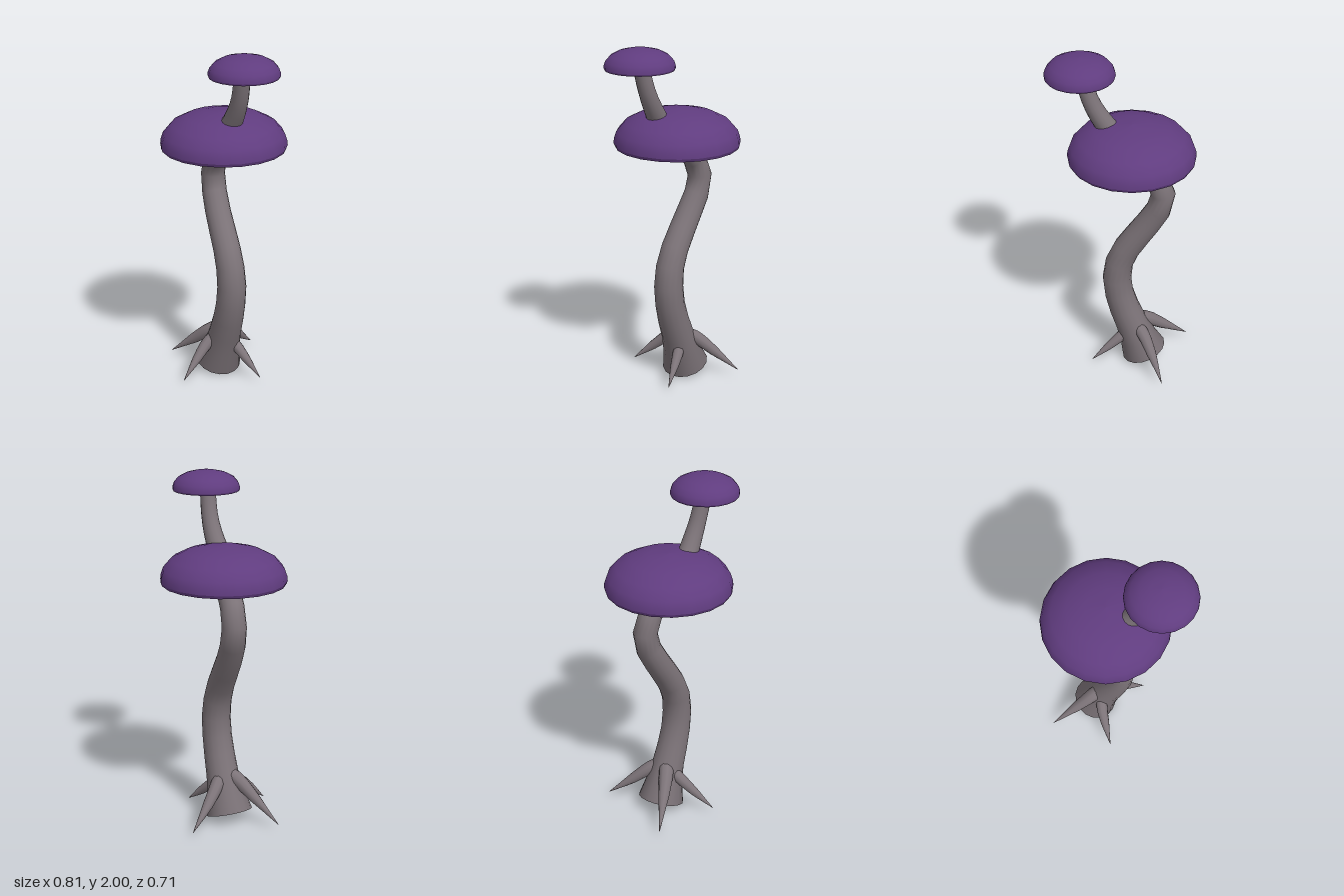
import * as THREE from 'three';

const mat = (name, color) => Object.assign(new THREE.MeshStandardMaterial({ color }), { name });

export function createModel() {
  const stemGrey = mat('stem grey', 0x7d7479);
  const capPurple = mat('cap purple', 0x603c7f);
  const gillLilac = mat('gill lilac', 0xbc9cec);
  const model = new THREE.Group();
  model.name = 'twinMushroom';

  const add = (parent, geometry, material, name) => {
    const mesh = new THREE.Mesh(geometry, material);
    mesh.name = name;
    parent.add(mesh);
    return mesh;
  };

  // Tube whose radius follows the fourth number of each point [x, y, z, radius]
  function taperedTube(points, segments, sides) {
    const path = new THREE.CatmullRomCurve3(points.map(p => new THREE.Vector3(p[0], p[1], p[2])));
    const geometry = new THREE.TubeGeometry(path, segments, 1, sides);
    const pos = geometry.attributes.position;
    const v = new THREE.Vector3();
    for (let i = 0; i < pos.count; i++) {
      const u = Math.floor(i / (sides + 1)) / segments;
      const t = path.getUtoTmapping(u) * (points.length - 1);
      const k = Math.min(Math.floor(t), points.length - 2);
      const radius = THREE.MathUtils.lerp(points[k][3], points[k + 1][3], t - k);
      const centre = path.getPointAt(u);
      v.fromBufferAttribute(pos, i).sub(centre).multiplyScalar(radius).add(centre);
      pos.setXYZ(i, v.x, v.y, v.z);
    }
    return { geometry, path };
  }

  // Main stem, with a tilted disc closing its foot
  const stem = taperedTube([
    [-0.1, 0.05, -0.03, 0.135], [-0.045, 0.21, -0.012, 0.097], [0.03, 0.44, 0.02, 0.086],
    [0.05, 0.6, 0.028, 0.084], [0.022, 0.75, 0.018, 0.08], [-0.125, 1.02, -0.055, 0.073],
    [-0.18, 1.15, -0.09, 0.07], [-0.175, 1.26, -0.085, 0.068], [-0.08, 1.41, -0.027, 0.066],
    [-0.03, 1.49, 0, 0.06],
  ], 14, 16);
  add(model, stem.geometry, stemGrey, 'mainStem');
  const foot = add(model, new THREE.CircleGeometry(0.135, 16), stemGrey, 'stemFoot');
  foot.position.copy(stem.path.getPointAt(0));
  foot.quaternion.setFromUnitVectors(new THREE.Vector3(0, 0, 1), stem.path.getTangentAt(0).negate());

  // Side stem growing out of the large cap
  add(model, taperedTube([
    [0.04, 1.53, 0.068, 0.06], [0.105, 1.62, 0.085, 0.055], [0.165, 1.74, 0.109, 0.047],
    [0.2, 1.88, 0.132, 0.044], [0.207, 1.92, 0.136, 0.042],
  ], 8, 16).geometry, stemGrey, 'sideStem');

  // Pointed roots
  const roots = {
    rightRoot: [[-0.07, 0.28, -0.005, 0.04], [-0.13, 0.25, 0.01, 0.045], [-0.24, 0.165, 0.025, 0.032], [-0.405, 0.035, 0.045, 0.001]],
    leftRoot: [[0.0, 0.215, -0.025, 0.03], [0.05, 0.175, -0.028, 0.033], [0.125, 0.115, -0.025, 0.024], [0.225, 0.035, -0.02, 0.001]],
    frontRoot: [[-0.075, 0.235, 0.04, 0.035], [-0.09, 0.205, 0.085, 0.036], [-0.097, 0.13, 0.175, 0.026], [-0.1, 0.035, 0.29, 0.001]],
    backRoot: [[-0.05, 0.26, -0.06, 0.036], [-0.07, 0.23, -0.11, 0.04], [-0.09, 0.145, -0.215, 0.029], [-0.105, 0.035, -0.355, 0.001]],
  };
  for (const [name, points] of Object.entries(roots)) {
    add(model, taperedTube(points, 8, 10).geometry, stemGrey, name);
  }

  // Cap: dome, creased lip and hollow underside, with radiating gills
  const lathe = pts => new THREE.LatheGeometry(pts.map(p => new THREE.Vector2(...p)), 20);
  const dome = [[0.355, 0.017], [0.352, 0.045], [0.338, 0.085], [0.292, 0.138], [0.21, 0.18], [0.11, 0.204], [0, 0.211]];
  const under = [[0, 0.05], [0.31, 0.035], [0.325, 0], [0.348, 0], [0.355, 0.017]];
  const gillProfile = [[0, 0], [0.009, 0.04], [0.013, 0.09], [0.009, 0.16], [0, 0.225]];

  function makeCap(name, x, y, z, scale) {
    const cap = new THREE.Group();
    cap.name = name;
    add(cap, lathe(dome), capPurple, 'capDome');
    for (let i = 0; i < under.length - 1; i++) {
      add(cap, lathe([under[i], under[i + 1]]), capPurple, i < 1 ? 'capUnderside' : 'capLip');
    }
    const gill = new THREE.LatheGeometry(gillProfile.map(p => new THREE.Vector2(...p)), 6);
    gill.rotateX(Math.PI / 2);
    gill.translate(0, 0.034, 0.04);
    const count = 24;
    for (let i = 0; i < count; i++) {
      add(cap, gill, gillLilac, 'gill').rotation.y = (i / count) * Math.PI * 2;
    }
    cap.position.set(x, y, z);
    cap.scale.setScalar(scale);
    model.add(cap);
  }
  makeCap('largeCap', -0.03, 1.415, 0, 1);
  makeCap('smallCap', 0.217, 1.886, 0.137, 0.54);

  return model;
}
